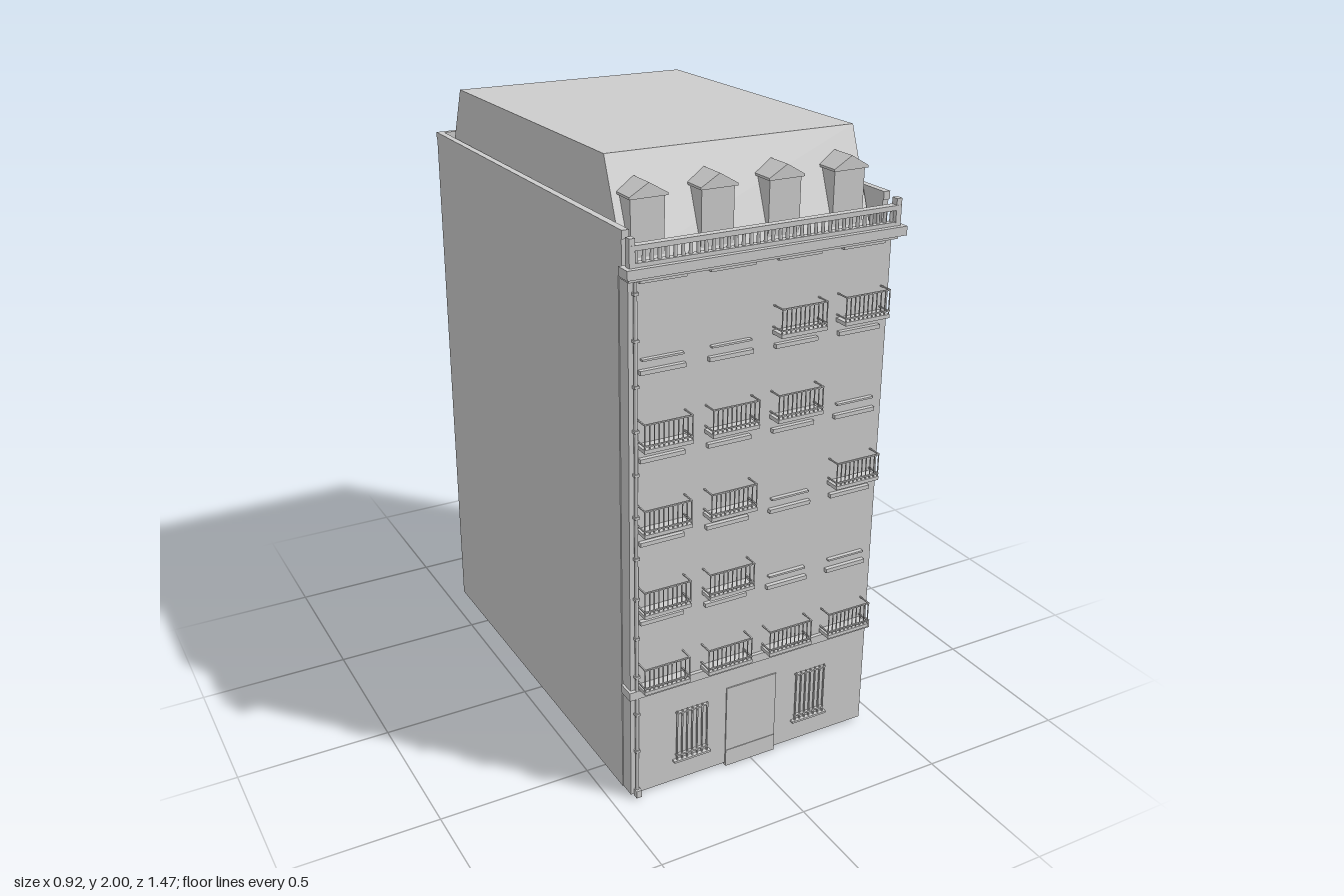
import * as THREE from 'three';

export function createModel() {
  const model = new THREE.Group();
  const stone = new THREE.MeshStandardMaterial({ color: 0xcccccc });
  stone.name = 'pale grey stone';
  const FRONT = 0.685;

  const add = (name, geometry, parent = model) => {
    const mesh = new THREE.Mesh(geometry, stone);
    mesh.name = name;
    parent.add(mesh);
    return mesh;
  };
  // Box given by its limits on each axis
  const box = (name, x0, x1, y0, y1, z0, z1, parent) => {
    const g = new THREE.BoxGeometry(x1 - x0, y1 - y0, z1 - z0);
    g.translate((x0 + x1) / 2, (y0 + y1) / 2, (z0 + z1) / 2);
    return add(name, g, parent);
  };
  const group = (name) => {
    const g = new THREE.Group();
    g.name = name;
    model.add(g);
    return g;
  };
  const extrude = (points, depth) => new THREE.ExtrudeGeometry(
    new THREE.Shape(points.map(([x, y]) => new THREE.Vector2(x, y))),
    { depth, bevelEnabled: false });

  // Main block and facade
  box('mainBlock', -0.44, 0.44, 0.01, 1.71, -0.73, 0.635);
  box('facade', -0.437, 0.437, 0.01, 1.71, 0.635, FRONT);
  box('beltCourse', -0.445, 0.445, 0.367, 0.395, 0.64, FRONT + 0.012);

  // Parapet around the sides and back, with a slim coping
  for (const s of [-1, 1]) {
    const x = s * 0.43;
    box('sideParapet', x - 0.01, x + 0.01, 1.71, 1.805, -0.73, 0.655);
    box('sideCoping', x - 0.011, x + 0.011, 1.805, 1.83, -0.732, 0.66);
  }
  box('backParapet', -0.42, 0.42, 1.71, 1.805, -0.73, -0.714);
  box('backCoping', -0.42, 0.42, 1.805, 1.83, -0.732, -0.713);

  // Mansard roof: side profile extruded across the width
  const roof = extrude([[0.613, 1.71], [0.5, 2], [-0.56, 2], [-0.68, 1.71]], 0.824);
  roof.translate(0, 0, -0.412);
  roof.rotateY(-Math.PI / 2);
  add('mansardRoof', roof);

  const columns = [-0.334, -0.112, 0.11, 0.332];

  // Dormers with overhanging gables
  for (const x of columns) {
    const dormer = group('dormer');
    box('dormerBody', x - 0.053, x + 0.053, 1.72, 1.9, 0.46, 0.606, dormer);
    const gable = extrude([[-0.06, 1.895], [0.06, 1.895], [0.06, 1.902], [0, 1.937], [-0.06, 1.902]], 0.15);
    gable.translate(x, 0, 0.464);
    add('dormerGable', gable, dormer);
  }

  // Cornice and balustrade
  box('cornice', -0.46, 0.46, 1.71, 1.738, 0.675, 0.727);
  box('corniceUnderside', -0.445, 0.445, 1.696, 1.71, 0.66, 0.705);
  const balustrade = group('balustrade');
  box('topRail', -0.445, 0.445, 1.785, 1.8, 0.688, 0.713, balustrade);
  box('bottomRail', -0.445, 0.445, 1.738, 1.75, 0.69, 0.711, balustrade);
  for (const s of [-1, 1])
    box('endPost', s * 0.437 - 0.009, s * 0.437 + 0.009, 1.738, 1.82, 0.689, 0.712, balustrade);
  for (let i = 0; i < 36; i++) {
    const baluster = add('baluster', new THREE.CylinderGeometry(0.005, 0.006, 0.04, 6), balustrade);
    baluster.position.set(-0.42 + i * 0.024, 1.767, 0.7);
  }

  // Balconies: slab, iron railing and returns to the wall
  const addBalcony = (x, y) => {
    const b = group('balcony');
    const w = 0.079, z = 0.732;
    box('balconySlab', x - w, x + w, y, y + 0.012, FRONT, 0.735, b);
    for (const h of [0.02, 0.085]) {
      box('frontRail', x - w, x + w, y + h, y + h + 0.004, z - 0.003, z + 0.002, b);
      for (const s of [-1, 1])
        box('sideRail', x + s * 0.077 - 0.002, x + s * 0.077 + 0.002, y + h, y + h + 0.004, FRONT, z, b);
    }
    for (let i = 0; i <= 10; i++) {
      const bx = x - 0.077 + i * 0.0154;
      box('railingBar', bx - 0.0013, bx + 0.0013, y + 0.012, y + 0.087, z - 0.002, z + 0.001, b);
    }
  };

  // Upper floors: 1 marks a balcony, 0 a plain sill
  const floors = [
    [0.4, [1, 1, 1, 1]],
    [0.665, [1, 1, 0, 0]],
    [0.932, [1, 1, 0, 1]],
    [1.2, [1, 1, 1, 0]],
    [1.465, [0, 0, 1, 1]],
  ];
  for (const [y, row] of floors) {
    columns.forEach((x, i) => {
      if (row[i]) addBalcony(x, y);
      else box('windowSill', x - 0.066, x + 0.066, y - 0.003, y + 0.003, FRONT, FRONT + 0.014);
      box('windowLintel', x - 0.073, x + 0.073, y + 0.222, y + 0.235, FRONT, FRONT + 0.014);
    });
  }

  // Ground floor: door with step, and two barred windows
  box('door', -0.095, 0.09, 0.06, 0.295, FRONT, FRONT + 0.004);
  box('doorStep', -0.095, 0.09, 0, 0.06, 0.66, FRONT + 0.006);
  for (const s of [-1, 1]) {
    const x = s * 0.222, grille = group('barredWindow');
    box('grilleSill', x - 0.066, x + 0.066, 0.083, 0.09, FRONT, FRONT + 0.014, grille);
    for (const y of [0.105, 0.262])
      box('grilleCrossbar', x - 0.057, x + 0.057, y, y + 0.005, FRONT, FRONT + 0.01, grille);
    for (let i = 0; i < 7; i++) {
      const bx = x - 0.054 + i * 0.018;
      box('grilleBar', bx - 0.002, bx + 0.002, 0.09, 0.272, FRONT + 0.004, FRONT + 0.009, grille);
    }
  }

  // Drainpipe with brackets
  const pipe = add('drainpipe', new THREE.CylinderGeometry(0.006, 0.006, 1.68, 8));
  pipe.position.set(-0.418, 0.86, FRONT + 0.006);
  for (let i = 0; i < 12; i++) {
    const y = 0.17 + i * 0.135;
    box('pipeBracket', -0.426, -0.41, y, y + 0.008, FRONT, FRONT + 0.014);
  }
  box('pipeFoot', -0.427, -0.409, 0.005, 0.03, FRONT, FRONT + 0.02);

  return model;
}
